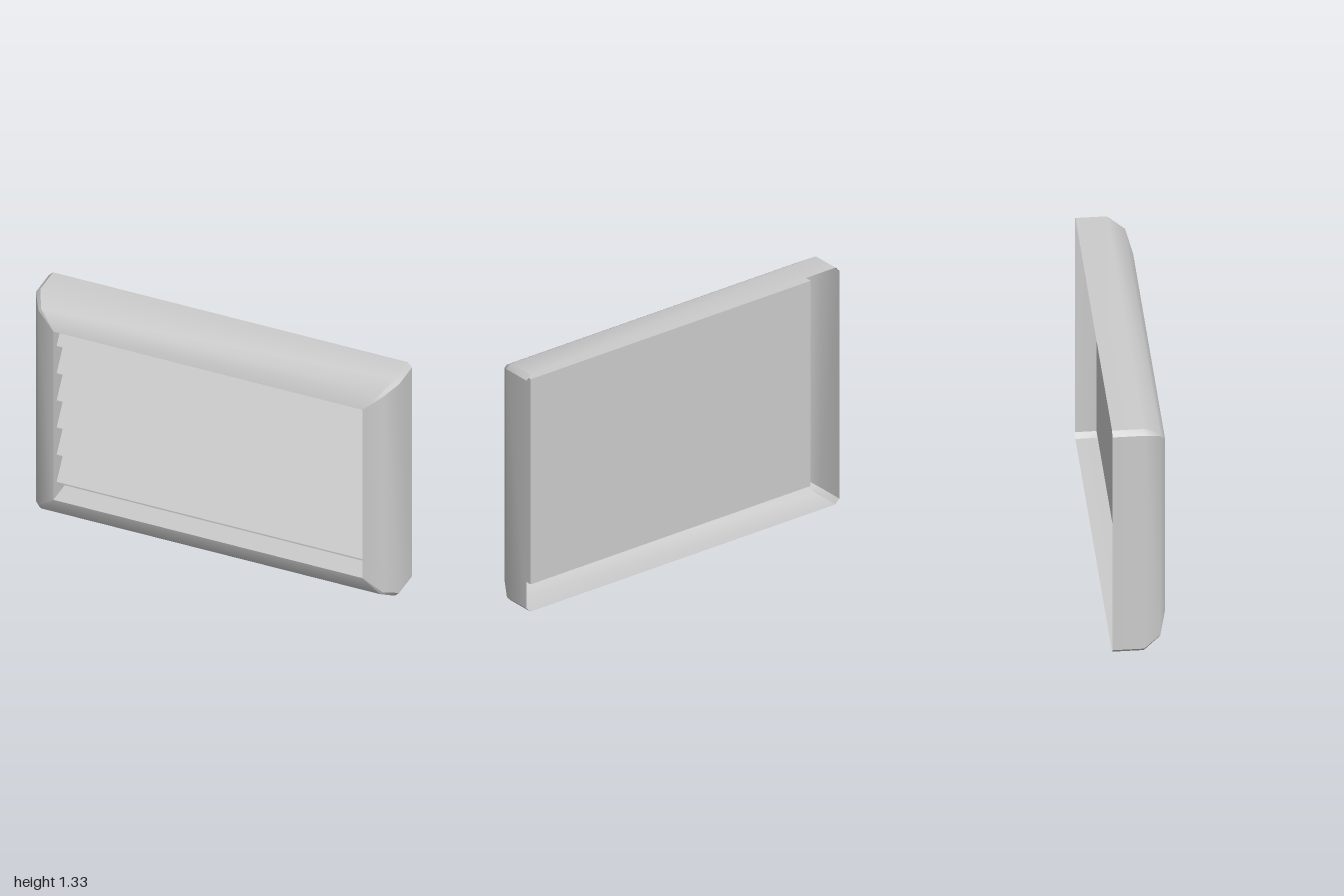
import * as THREE from 'three';

const HALF_W = 1, HALF_H = 0.667;
const material = new THREE.MeshStandardMaterial({ color: 0xcccccc, side: THREE.DoubleSide });

// Rectangle with cut corners, counter-clockwise seen from the front
function ring([inset, cut, z]) {
  const w = HALF_W - inset, h = HALF_H - inset;
  return [
    [w, -h + cut], [w, h - cut], [w - cut, h], [-w + cut, h],
    [-w, h - cut], [-w, -h + cut], [-w + cut, -h], [w - cut, -h],
  ].map(([x, y]) => [x, y + HALF_H, z]);
}

// Thin shell through the rings: smooth along the profile, sharp at the corners
function shell(profile) {
  const rings = profile.map(ring);
  const positions = [], indices = [];
  for (let side = 0; side < 8; side++) {
    const base = positions.length / 3;
    rings.forEach((points, r) => {
      positions.push(...points[side], ...points[(side + 1) % 8]);
      if (r === 0) return;
      const a = base + (r - 1) * 2;
      indices.push(a, a + 1, a + 3, a, a + 3, a + 2);
    });
  }
  const geometry = new THREE.BufferGeometry();
  geometry.setAttribute('position', new THREE.Float32BufferAttribute(positions, 3));
  geometry.setIndex(indices);
  geometry.computeVertexNormals();
  return geometry;
}

export function createModel() {
  const model = new THREE.Group();
  model.name = 'louveredVent';
  const add = (name, geometry, x = 0, y = 0, z = 0) => {
    const mesh = new THREE.Mesh(geometry, material);
    mesh.name = name;
    mesh.position.set(x, y, z);
    model.add(mesh);
    return mesh;
  };

  // Hollow bevelled frame, open at the back: [inset, corner cut, z]
  add('frame', shell([
    [0, 0.025, -0.14], [0, 0.025, 0.02], [0.053, 0.014, 0.107], [0.15, 0, 0.14],
  ]));

  // Walls of the opening, running back to the panel
  add('openingWalls', shell([[0.15, 0, 0.14], [0.15, 0, 0]]));

  // Backing panel, slightly larger than the opening
  add('backPanel', new THREE.BoxGeometry(1.79, 1.156, 0.04), 0, HALF_H, -0.02);

  // Six slats, lower edges tilted outward
  const slat = new THREE.BoxGeometry(1.7, 0.158, 0.014);
  for (let i = 0; i < 6; i++) {
    add(`slat${i + 1}`, slat, 0, 1.132 - i * 0.167, 0.05).rotation.x = -0.6;
  }
  return model;
}
